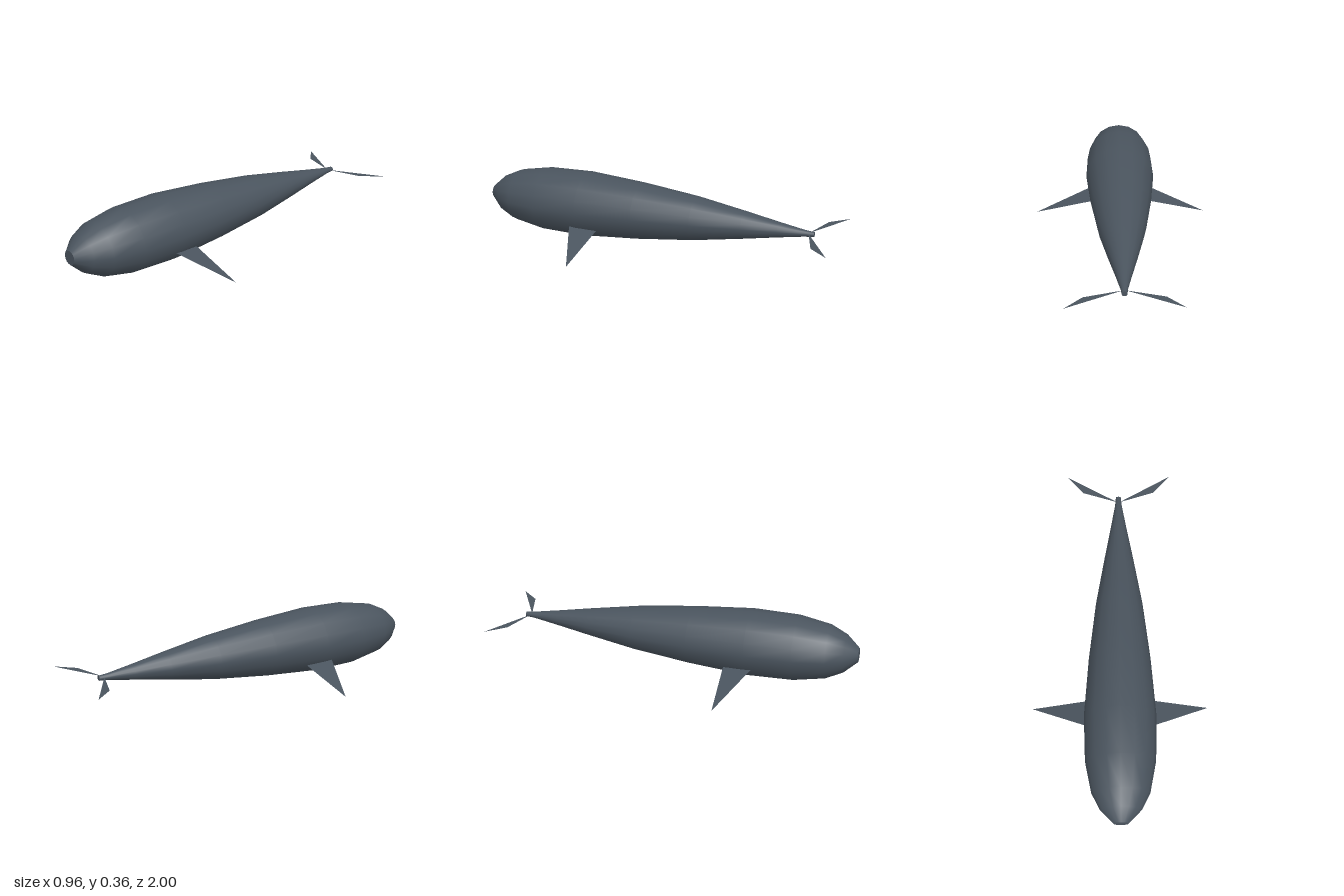
import * as THREE from 'three';

const SIDES = 16;
const CENTRE_Y = 0.183;
const FLATTEN = 0.922; // body height relative to its width

// Body rings from tail to nose: [radius, z]
const PROFILE = [
  [0.014, -0.87], [0.019, -0.82], [0.044, -0.68], [0.08, -0.49], [0.128, -0.22],
  [0.167, 0.1], [0.193, 0.42], [0.187, 0.67], [0.154, 0.84], [0.108, 0.93], [0.04, 1],
];

function triangle(points, side) {
  const geometry = new THREE.BufferGeometry();
  const corners = points.flatMap(([x, y, z]) => [x * side, y, z]);
  geometry.setAttribute('position', new THREE.Float32BufferAttribute(corners, 3));
  geometry.setIndex(side > 0 ? [0, 1, 2] : [0, 2, 1]);
  geometry.computeVertexNormals();
  return geometry;
}

export function createModel() {
  const model = new THREE.Group();
  model.name = 'whale';

  const skin = new THREE.MeshStandardMaterial({ color: 0x4a545e, side: THREE.DoubleSide });
  skin.name = 'slate grey skin';

  const add = (name, geometry) => {
    const mesh = new THREE.Mesh(geometry, skin);
    mesh.name = name;
    model.add(mesh);
  };

  // Smooth tapering body
  const profile = PROFILE.map(([r, z]) => new THREE.Vector2(r, z));
  const body = new THREE.LatheGeometry(profile, SIDES);
  body.rotateX(Math.PI / 2).scale(1, FLATTEN, 1).translate(0, CENTRE_Y, 0);
  add('body', body);

  // Flat discs closing the nose and the tail stem
  const cap = (r, z, turn) => new THREE.CircleGeometry(r, SIDES)
    .rotateY(turn).scale(1, FLATTEN, 1).translate(0, CENTRE_Y, z);
  add('noseCap', cap(0.04, 1, 0));
  add('tailCap', cap(0.014, -0.87, Math.PI));

  // Mirrored flippers and tail flukes
  for (const [label, side] of [['left', 1], ['right', -1]]) {
    add(`${label}Flipper`, triangle(
      [[0.14, 0.107, 0.47], [0.48, 0.004, 0.33], [0.14, 0.088, 0.306]], side));
    add(`${label}Fluke`, triangle(
      [[0.005, 0.185, -0.84], [0.2, 0.185, -0.9], [0.29, 0.185, -1]], side));
  }
  return model;
}
